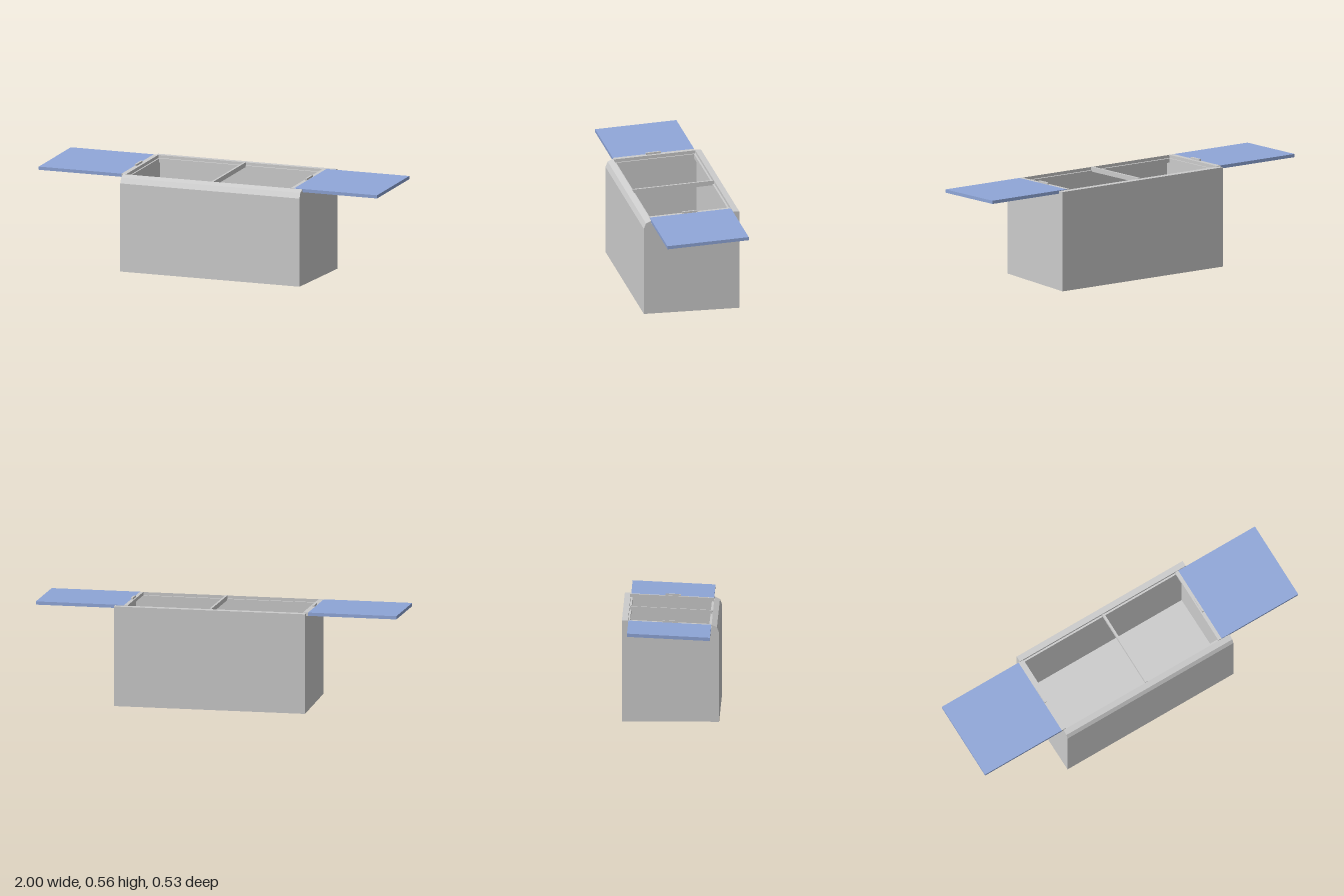
import * as THREE from 'three';

const grey = new THREE.MeshStandardMaterial({ color: 0xcccccc, flatShading: true });
const blue = new THREE.MeshStandardMaterial({ color: 0x8fa6d8, flatShading: true });

const X0 = -0.5, X1 = 0.56, WALL = 0.025, MID = 0.03;
const TILT = 0.049; // slope of the top, higher at the back
const railY = (z) => 0.528 - z * Math.tan(TILT);

function add(parent, name, geometry, material = grey) {
  const mesh = new THREE.Mesh(geometry, material);
  mesh.name = name;
  parent.add(mesh);
  return mesh;
}

function box(parent, name, size, pos, material) {
  const mesh = add(parent, name, new THREE.BoxGeometry(...size), material);
  mesh.position.set(...pos);
  return mesh;
}

// Extrudes a [z, y] outline along x from x0 to x1.
function prism(parent, name, outline, x0, x1) {
  const shape = new THREE.Shape(outline.map(([z, y]) => new THREE.Vector2(z, y)));
  const geo = new THREE.ExtrudeGeometry(shape, { depth: x1 - x0, bevelEnabled: false });
  geo.rotateY(-Math.PI / 2).translate(x1, 0, 0);
  return add(parent, name, geo);
}

// Sliding lid: glass pane, end frame at the inner edge and a small handle.
function addLid(parent, name, inner, outer) {
  const lid = new THREE.Group();
  lid.name = name;
  lid.position.set(0, 0.5375, -0.004);
  lid.rotation.x = TILT;
  parent.add(lid);
  const edge = Math.sign(outer) * 0.51;
  box(lid, 'lidPane', [Math.abs(outer - edge), 0.018, 0.452], [(outer + edge) / 2, 0, 0], blue);
  box(lid, 'lidEndFrame', [Math.abs(edge - inner), 0.018, 0.452], [(edge + inner) / 2, 0, 0]);
  box(lid, 'lidHandle', [0.011, 0.01, 0.085], [Math.sign(outer) * 0.503, 0.014, 0.002]);
}

export function createModel() {
  const group = new THREE.Group();
  group.name = 'chestFreezer';

  // Cabinet: front and back walls with stepped ledges for the lids
  prism(group, 'frontWall', [
    [0.265, 0], [0.265, 0.49], [0.253, 0.52], [0.224, 0.534],
    [0.224, railY(0.224)], [0.21, railY(0.21)], [0.21, 0.495], [0.235, 0.495], [0.235, 0],
  ], X0, X1);
  prism(group, 'backWall', [
    [-0.265, 0], [-0.235, 0], [-0.235, 0.515], [-0.222, 0.515],
    [-0.222, railY(-0.222)], [-0.232, railY(-0.232)], [-0.232, 0.555], [-0.265, 0.555],
  ], X0, X1);

  // End walls, cut low so the lids can slide over them
  const end = [[0.235, 0], [0.235, railY(0.235)], [-0.235, railY(-0.235)], [-0.235, 0]];
  prism(group, 'rightWall', end, X0, X0 + WALL);
  prism(group, 'leftWall', end, X1 - WALL, X1);

  box(group, 'floor', [X1 - X0 - 2 * WALL, 0.04, 0.47], [MID, 0.02, 0]);

  // Cross rail between the two lids
  const rail = box(group, 'centreRail', [0.012, 0.026, 0.452], [MID, 0.534, -0.004]);
  rail.rotation.x = TILT;

  addLid(group, 'rightLid', -0.482, -1);
  addLid(group, 'leftLid', 0.49, 1);
  return group;
}
